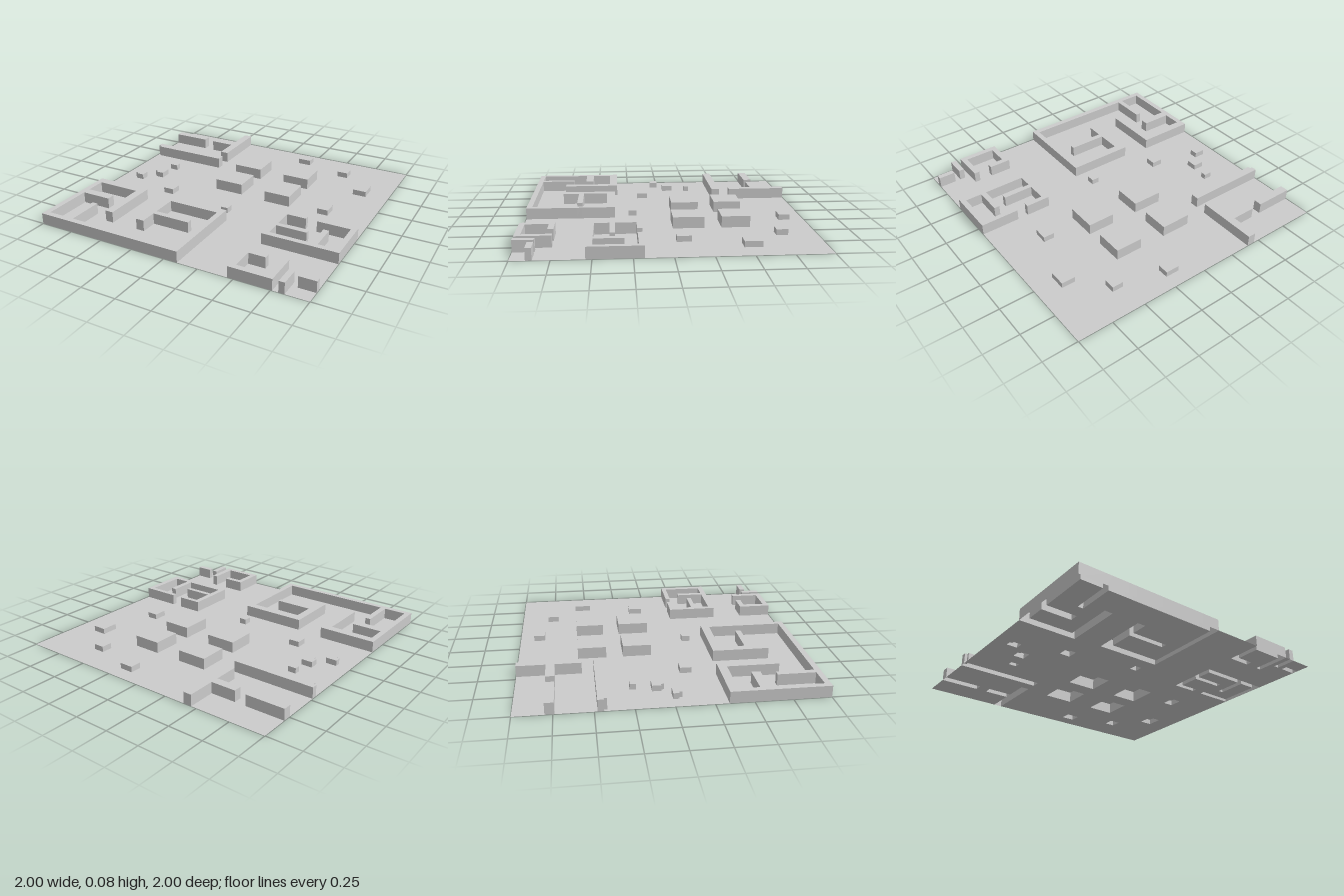
import * as THREE from 'three';

const TALL = 0.08, LOW = 0.04;
const material = new THREE.MeshStandardMaterial({ color: 0xcccccc, flatShading: true, side: THREE.DoubleSide });

// Plans are lists of rectangles [x0, x1, z0, z1] on the ground
const covers = (plan, x, z) => plan.some(([x0, x1, z0, z1]) => x > x0 && x < x1 && z > z0 && z < z1);
const cuts = (plan, i) => [...new Set(plan.flatMap((r) => [r[i], r[i + 1]]))].sort((a, b) => a - b);

// Rectangle with a small bite out of its front left corner
const notched = (x0, x1, z0, z1) => [[x0, x1, z0, z1 - 0.02], [x0 + 0.02, x1, z1 - 0.02, z1]];

function fromQuads(quads) {
  const positions = quads.flatMap(([a, b, c, d]) => [a, b, c, a, c, d].flat());
  const geo = new THREE.BufferGeometry();
  geo.setAttribute('position', new THREE.Float32BufferAttribute(positions, 3));
  geo.computeVertexNormals();
  return geo;
}

// Roof and outer walls over the union of a plan's rectangles, open underneath
function raise(plan, height) {
  const xs = cuts(plan, 0), zs = cuts(plan, 2), quads = [];
  const filled = (i, j) => covers(plan, (xs[i] + xs[i + 1]) / 2, (zs[j] + zs[j + 1]) / 2);
  for (let i = 0; i < xs.length - 1; i++) {
    for (let j = 0; j < zs.length - 1; j++) {
      if (!filled(i, j)) continue;
      const corners = [[xs[i], zs[j]], [xs[i], zs[j + 1]], [xs[i + 1], zs[j + 1]], [xs[i + 1], zs[j]]];
      quads.push(corners.map(([x, z]) => [x, height, z]));
      [[-1, 0], [0, 1], [1, 0], [0, -1]].forEach(([di, dj], k) => {
        if (filled(i + di, j + dj)) return;
        const [ax, az] = corners[k], [bx, bz] = corners[(k + 1) % 4];
        quads.push([[ax, 0, az], [bx, 0, bz], [bx, height, bz], [ax, height, az]]);
      });
    }
  }
  return fromQuads(quads);
}

// Flat sheet in strips, left open wherever the plan covers it
function groundAround(plan) {
  const all = [...plan, [-1, 1, -1, 1]];
  const xs = cuts(all, 0), zs = cuts(all, 2), quads = [];
  for (let j = 0; j < zs.length - 1; j++) {
    const z0 = zs[j], z1 = zs[j + 1];
    let start = null;
    for (let i = 0; i < xs.length; i++) {
      const open = i < xs.length - 1 && !covers(plan, (xs[i] + xs[i + 1]) / 2, (z0 + z1) / 2);
      if (open && start === null) start = xs[i];
      if (!open && start !== null) {
        quads.push([[start, 0, z0], [start, 0, z1], [xs[i], 0, z1], [xs[i], 0, z0]]);
        start = null;
      }
    }
  }
  return fromQuads(quads);
}

export function createModel() {
  const model = new THREE.Group();
  model.name = 'mazeField';
  const built = [];
  const addMesh = (name, geometry) => {
    const mesh = new THREE.Mesh(geometry, material);
    mesh.name = name;
    model.add(mesh);
  };
  const add = (name, height, ...plan) => {
    built.push(...plan);
    addMesh(name, raise(plan, height));
  };

  // Winding wall around the two front left courts
  add('frontLeftCourtWalls', TALL,
    [-1, -0.58, 0.34, 0.4], [-0.64, -0.58, 0.34, 0.76], [-1, -0.96, 0.34, 1],
    [-1, -0.74, 0.54, 0.6], [-1, 0.1, 0.96, 1], [-0.8, -0.76, 0.7, 1],
    [0.06, 0.1, 0.36, 1], [-0.38, 0.1, 0.36, 0.42], [-0.38, -0.32, 0.36, 0.76],
    [-0.38, -0.04, 0.6, 0.64]);

  // Walled court on the right edge
  add('rightCourtWalls', TALL,
    [0.46, 0.5, 0.18, 0.54], [0.46, 0.64, 0.18, 0.215], [0.46, 0.72, 0.36, 0.395],
    [0.46, 1, 0.5, 0.54], [0.8, 0.84, 0.3, 0.54], [0.96, 1, 0.18, 0.54], [0.72, 1, 0.18, 0.215]);

  // Small room and loose walls in the front right corner
  add('cornerRoomWalls', TALL,
    [0.46, 0.62, 0.76, 0.8], [0.46, 0.5, 0.76, 1], [0.46, 0.76, 0.96, 1], [0.72, 0.76, 0.76, 1]);
  add('cornerPostWall', TALL, [0.8, 0.84, 0.86, 1]);
  add('cornerSideWall', TALL, [0.88, 1, 0.86, 0.9]);

  // Back left walls
  add('backStubWall', TALL, [-1, -0.72, -0.8, -0.74]);
  add('backTeeWall', TALL, [-0.46, -0.4, -1, -0.56], [-0.64, -0.4, -0.8, -0.74]);
  add('backLongWall', TALL, ...notched(-1, -0.4, -0.48, -0.42));

  // Four central blocks
  for (const [x0, x1, frontZ] of [[-0.22, 0, -0.06], [0.2, 0.4, -0.04]]) {
    add('centralBlock', TALL, [x0, x1, -0.58, -0.38]);
    add('centralBlock', TALL, [x0, x1, -0.26, frontZ]);
  }

  // Scattered low crates
  add('backCrate', LOW, [0.14, 0.24, -0.9, -0.82]);
  add('backCrate', LOW, [0.52, 0.6, -0.8, -0.72]);
  add('rightCrate', LOW, [0.74, 0.84, -0.58, -0.46]);
  add('rightCrate', LOW, [0.62, 0.7, -0.14, -0.04]);
  add('middleCrate', LOW, [0, 0.055, 0.2, 0.26]);
  add('middleCrate', LOW, [-0.54, -0.46, 0.1, 0.18]);
  add('leftCrate', LOW, [-0.74, -0.68, -0.26, -0.22]);
  add('leftCrate', LOW, ...notched(-0.78, -0.7, -0.12, -0.04));
  add('leftCrate', LOW, ...notched(-0.9, -0.82, 0, 0.06));

  // Thin ground sheet, open under every raised part
  addMesh('ground', groundAround(built));
  return model;
}
